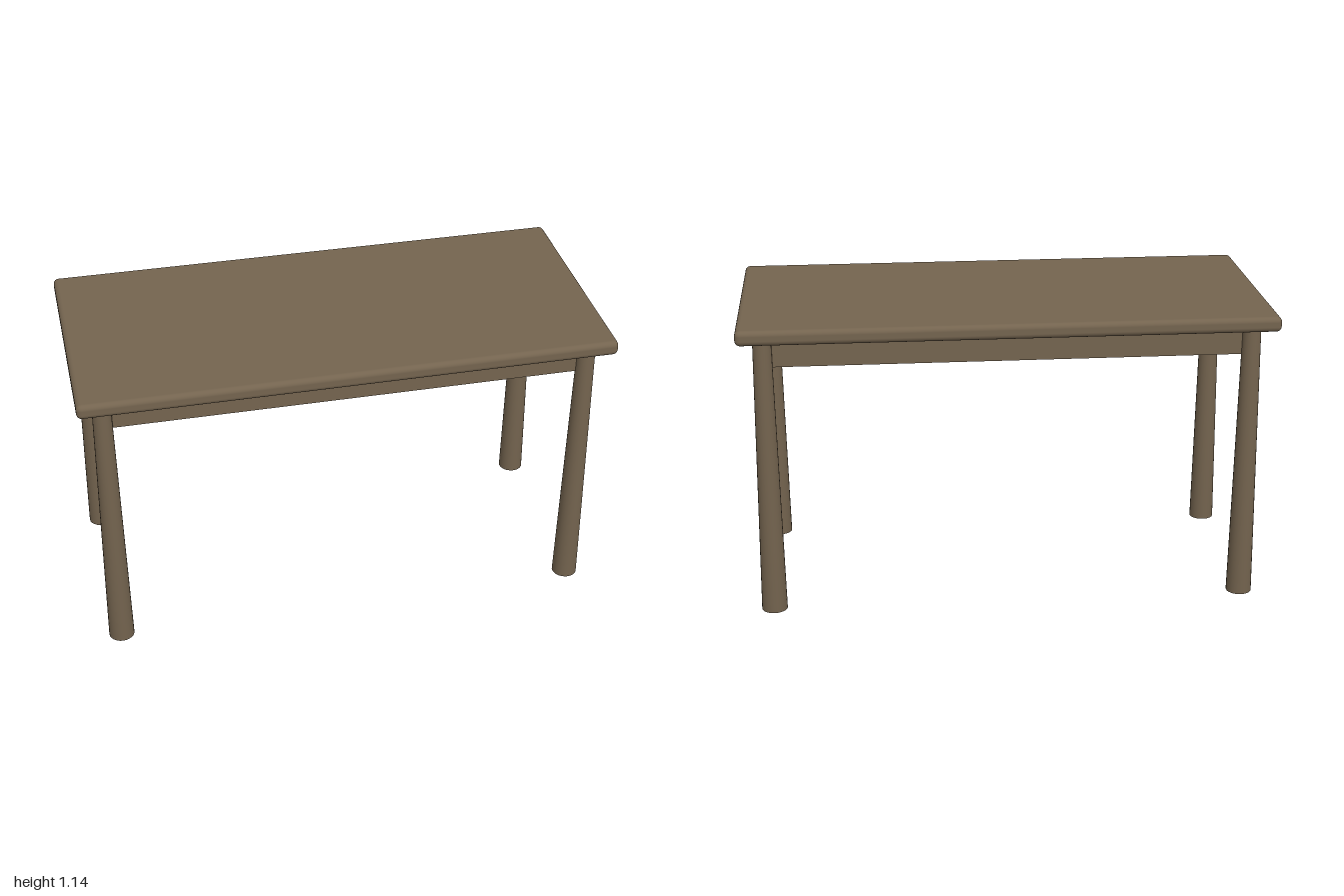
import * as THREE from 'three';
import { RoundedBoxGeometry } from 'three/addons/geometries/RoundedBoxGeometry.js';

const LEG_X = 0.907, LEG_Z = 0.37;

export function createModel() {
  const table = new THREE.Group();
  table.name = 'table';

  const wood = new THREE.MeshStandardMaterial({ color: 0x74644f });
  wood.name = 'brown wood';

  const add = (name, geometry, x, y, z) => {
    const mesh = new THREE.Mesh(geometry, wood);
    mesh.name = name;
    mesh.position.set(x, y, z);
    table.add(mesh);
  };

  // Top slab with softened edges
  add('tabletop', new RoundedBoxGeometry(2, 0.057, 0.922, 3, 0.02), 0, 1.111, 0);

  // Solid frame under the slab, its corners meeting the leg centres
  add('apron', new THREE.BoxGeometry(2 * LEG_X, 0.114, 2 * LEG_Z), 0, 1.032, 0);

  // Round legs, wider at the foot, with shading that blends into the underside
  const profile = [[0, 0], [0.049, 0], [0.034, 1.088]].map(([r, y]) => new THREE.Vector2(r, y));
  const legGeometry = new THREE.LatheGeometry(profile, 24);
  for (const [side, sx] of [['Left', 1], ['Right', -1]]) {
    for (const [end, sz] of [['front', 1], ['back', -1]]) {
      add(`${end}${side}Leg`, legGeometry, sx * LEG_X, 0, sz * LEG_Z);
    }
  }

  return table;
}
